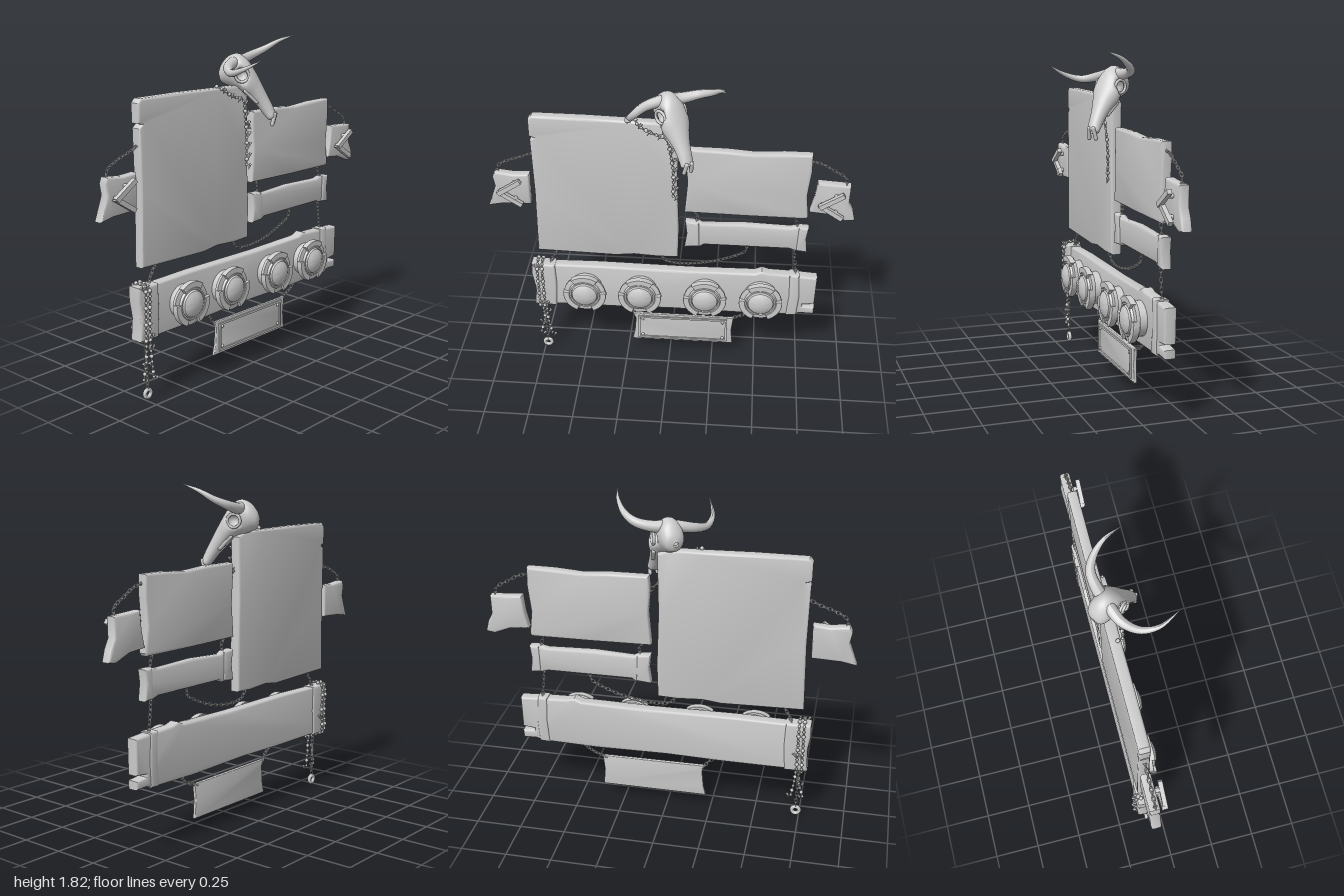
import * as THREE from 'three';
import { toCreasedNormals } from 'three/addons/utils/BufferGeometryUtils.js';

const mat = new THREE.MeshStandardMaterial({ color: 0xcccccc });
const V = (p) => new THREE.Vector3(...p);
const curveOf = (pts) => new THREE.CatmullRomCurve3(pts.map(V));

function add(parent, name, geometry, pos = [0, 0, 0], rot = [0, 0, 0]) {
  const m = new THREE.Mesh(geometry, mat);
  m.name = name;
  m.position.set(...pos);
  m.rotation.set(...rot);
  parent.add(m);
  return m;
}

// Board with a ragged outline and rounded edges, between two depths
function slab(parent, name, pts, back, front, bevel = 0.012) {
  const shape = new THREE.Shape(pts.map((p) => new THREE.Vector2(...p)));
  const g = new THREE.ExtrudeGeometry(shape, {
    depth: front - back - 2 * bevel, bevelThickness: bevel, bevelSize: bevel, bevelOffset: -bevel, bevelSegments: 3,
  });
  return add(parent, name, toCreasedNormals(g, 0.7), [0, 0, back + bevel]);
}

// Chain of alternately turned oval links along a curve
const linkGeo = new THREE.TorusGeometry(0.0085, 0.0032, 5, 10).scale(1.7, 1, 1);
function chain(parent, name, pts) {
  const group = new THREE.Group();
  group.name = name;
  const curve = curveOf(pts);
  const n = Math.max(2, Math.round(curve.getLength() / 0.023));
  for (let i = 0; i <= n; i++) {
    const link = add(group, 'link', linkGeo, curve.getPointAt(i / n).toArray());
    link.quaternion.setFromUnitVectors(new THREE.Vector3(1, 0, 0), curve.getTangentAt(i / n));
    link.rotateX(i % 2 ? Math.PI / 2 : 0.2);
  }
  parent.add(group);
}

// Cord strung with beads and small pointed charms
function beadString(parent, name, pts, charmEvery) {
  const group = new THREE.Group();
  group.name = name;
  const curve = curveOf(pts);
  add(group, 'cord', new THREE.TubeGeometry(curve, 30, 0.004, 5));
  const n = Math.round(curve.getLength() / 0.03);
  for (let i = 0; i <= n; i++) {
    const p = curve.getPointAt(i / n);
    add(group, 'bead', new THREE.SphereGeometry(i % 3 ? 0.008 : 0.011, 8, 6), p.toArray());
    if (i % charmEvery === 1) {
      const s = i % 2 ? 1 : -1;
      add(group, 'charm', new THREE.ConeGeometry(0.009, 0.035, 5), [p.x + s * 0.014, p.y - 0.014, p.z + 0.006], [0, 0, Math.PI - s * 0.5]);
    }
  }
  parent.add(group);
}

// Tapered horn: tube whose rings shrink toward the tip
function horn(parent, name, pts, radius) {
  const curve = curveOf(pts), seg = 28, radial = 12;
  const g = new THREE.TubeGeometry(curve, seg, radius, radial);
  const p = g.attributes.position, v = new THREE.Vector3();
  for (let i = 0; i < p.count; i++) {
    const t = Math.floor(i / (radial + 1)) / seg;
    const c = curve.getPointAt(t);
    v.fromBufferAttribute(p, i).sub(c).multiplyScalar(1 - 0.95 * Math.pow(t, 1.3)).add(c);
    p.setXYZ(i, v.x, v.y, v.z);
  }
  g.computeVertexNormals();
  add(parent, name, g);
}

// Skull lofted from sections: upper [z, y], lower [z, y], half width
function skullGeometry() {
  const rows = [
    [-0.115, 1.635, -0.112, 1.605, 0.012], [-0.1, 1.675, -0.1, 1.58, 0.045], [-0.06, 1.72, -0.07, 1.565, 0.062],
    [-0.01, 1.733, -0.03, 1.55, 0.064], [0.04, 1.7, 0.0, 1.54, 0.077], [0.08, 1.64, 0.03, 1.515, 0.08],
    [0.115, 1.575, 0.06, 1.485, 0.06], [0.15, 1.505, 0.095, 1.45, 0.044], [0.18, 1.445, 0.13, 1.405, 0.037],
    [0.192, 1.41, 0.155, 1.38, 0.034], [0.188, 1.395, 0.165, 1.38, 0.012],
  ];
  const top = curveOf(rows.map((r) => [r[4], r[1], r[0]]));
  const low = curveOf(rows.map((r) => [0, r[3], r[2]]));
  const N = 44, M = 28, pos = [], idx = [], eye = new THREE.Vector3(0.07, 1.625, 0.02);
  for (let i = 0; i <= N; i++) {
    const a = top.getPoint(i / N), b = low.getPoint(i / N);
    for (let j = 0; j < M; j++) {
      const t = (j / M) * Math.PI * 2, k = (1 - Math.cos(t)) / 2;
      const v = new THREE.Vector3(a.x * Math.sin(t), a.y + (b.y - a.y) * k, a.z + (b.z - a.z) * k);
      // Hollow out the eye sockets
      const d = Math.hypot(v.y - eye.y, v.z - eye.z) / 0.036;
      if (d < 1 && Math.abs(v.x) > 0.03) v.x *= 1 - 0.6 * Math.sqrt(1 - d * d);
      pos.push(v.x, v.y, v.z);
      if (i < N) {
        const p = i * M + j, q = i * M + ((j + 1) % M);
        idx.push(p, p + M, q, q, p + M, q + M);
      }
    }
  }
  const g = new THREE.BufferGeometry();
  g.setAttribute('position', new THREE.Float32BufferAttribute(pos, 3));
  g.setIndex(idx);
  g.computeVertexNormals();
  return g;
}

function buildSkull(root) {
  const group = new THREE.Group();
  group.name = 'skull';
  const head = new THREE.Group();
  head.name = 'skullHead';
  head.position.set(0.0, 0, -0.1);
  head.rotation.y = 0.62;
  const bone = add(head, 'cranium', skullGeometry());
  bone.material = new THREE.MeshStandardMaterial({ color: 0xcccccc, side: THREE.DoubleSide });
  for (const s of [-1, 1]) {
    add(head, 'eyeRim', new THREE.TorusGeometry(0.035, 0.008, 8, 20), [s * 0.07, 1.625, 0.02], [0, s * 1.35, 0]);
    // Forked muzzle tips and cheek ridges
    add(head, 'muzzleProng', new THREE.CapsuleGeometry(0.011, 0.055, 4, 8), [s * 0.018, 1.385, 0.182], [0.25, 0, s * 0.12]);
    add(head, 'cheekRidge', new THREE.CapsuleGeometry(0.012, 0.085, 4, 8), [s * 0.048, 1.51, 0.065], [-0.75, 0, s * -0.25]);
  }
  group.add(head);
  horn(group, 'rightHorn', [[0, 1.69, -0.12], [-0.06, 1.685, -0.1], [-0.13, 1.67, -0.065], [-0.185, 1.655, 0.01], [-0.2, 1.68, 0.1], [-0.165, 1.735, 0.205]], 0.033);
  horn(group, 'leftHorn', [[0, 1.69, -0.12], [0.06, 1.69, -0.14], [0.15, 1.71, -0.15], [0.215, 1.74, -0.115], [0.262, 1.785, -0.05], [0.287, 1.817, 0.035]], 0.033);
  root.add(group);
}

// Round lamp: stem, flange, raised rim arcs and dome
function lamp(root, x) {
  const group = new THREE.Group();
  group.name = 'roundLamp';
  group.position.set(x, 0.48, 0);
  const profile = [[0, -0.09], [0.092, -0.09], [0.092, -0.032], [0.112, -0.03], [0.118, -0.02], [0.118, -0.008], [0.092, -0.004],
    [0.086, 0.008], [0.078, 0.008], [0.076, 0.0], [0.07, 0.014], [0.05, 0.026], [0.025, 0.032], [0, 0.034]];
  const g = new THREE.LatheGeometry(profile.map((p) => new THREE.Vector2(...p)), 36).rotateX(Math.PI / 2);
  add(group, 'lampBody', toCreasedNormals(g, 0.6));
  for (let i = 0; i < 3; i++) {
    const a = Math.PI / 2 + i * Math.PI * 2 / 3 - 0.65, s = new THREE.Shape();
    s.absarc(0, 0, 0.12, a, a + 1.3, false);
    s.absarc(0, 0, 0.09, a + 1.3, a, true);
    const arc = new THREE.ExtrudeGeometry(s, { depth: 0.026, bevelSize: 0.002, bevelThickness: 0.003, bevelSegments: 1, curveSegments: 10 });
    add(group, 'rimArc', toCreasedNormals(arc, 0.5), [0, 0, -0.019]);
  }
  root.add(group);
}

// Chevron made of two crossed slats on a short post
function chevron(root, x) {
  const group = new THREE.Group();
  group.name = 'arrow';
  group.position.set(x, 1.115, 0);
  for (const s of [-1, 1]) {
    add(group, 'arrowSlat', new THREE.BoxGeometry(0.15, 0.026, 0.024), [0.005, s * 0.036, -0.055 + s * 0.004], [0, 0, s * 0.58]);
    add(group, 'arrowPost', new THREE.CylinderGeometry(0.012, 0.012, 0.04, 10), [0.03, s * 0.05, -0.075], [Math.PI / 2, 0, 0]);
  }
  root.add(group);
}

export function createModel() {
  const root = new THREE.Group();
  root.name = 'hangingSign';

  // Boards
  slab(root, 'mainBoard', [[-0.745, 0.715], [-0.3, 0.703], [-0.2, 0.715], [-0.06, 0.706], [0.045, 0.71], [0.05, 0.9], [0.04, 1.2], [0.045, 1.54],
    [-0.02, 1.565], [-0.2, 1.568], [-0.45, 1.575], [-0.725, 1.577], [-0.745, 1.555], [-0.745, 1.455], [-0.72, 1.448], [-0.742, 1.43], [-0.737, 1.1]], -0.143, -0.083);
  slab(root, 'sideBoard', [[0.08, 1.015], [0.4, 1.008], [0.74, 1.005], [0.75, 1.02], [0.735, 1.15], [0.75, 1.3], [0.748, 1.405], [0.6, 1.405],
    [0.45, 1.395], [0.3, 1.407], [0.09, 1.41], [0.085, 1.33], [0.095, 1.2]], -0.14, -0.085);
  slab(root, 'smallBoard', [[0.085, 0.785], [0.17, 0.785], [0.19, 0.8], [0.66, 0.798], [0.7, 0.785], [0.758, 0.785], [0.75, 0.87], [0.758, 0.94],
    [0.7, 0.945], [0.66, 0.935], [0.4, 0.945], [0.18, 0.935], [0.15, 0.95], [0.085, 0.95], [0.095, 0.87]], -0.135, -0.09);
  slab(root, 'smallBoardEnd', [[0.082, 0.783], [0.165, 0.79], [0.16, 0.945], [0.084, 0.952], [0.094, 0.87]], -0.14, -0.083);
  slab(root, 'smallBoardEnd', [[0.7, 0.79], [0.76, 0.783], [0.75, 0.87], [0.76, 0.942], [0.705, 0.945]], -0.14, -0.083);
  slab(root, 'lampBoard', [[-0.78, 0.335], [-0.3, 0.335], [0, 0.342], [0.4, 0.335], [0.72, 0.343], [0.75, 0.355], [0.828, 0.352], [0.83, 0.398],
    [0.76, 0.405], [0.76, 0.418], [0.828, 0.425], [0.832, 0.61], [0.7, 0.62], [0.56, 0.625], [0.52, 0.638], [0.48, 0.62], [0.1, 0.615], [-0.4, 0.622], [-0.78, 0.615]], -0.14, -0.075);
  slab(root, 'lampBoardBand', [[-0.785, 0.333], [-0.66, 0.33], [-0.65, 0.48], [-0.655, 0.62], [-0.79, 0.625], [-0.792, 0.55], [-0.775, 0.45]], -0.147, -0.065);
  slab(root, 'lampBoardBand', [[0.67, 0.34], [0.73, 0.343], [0.74, 0.48], [0.73, 0.625], [0.675, 0.625], [0.68, 0.48]], -0.145, -0.068);
  for (const x of [-0.48, -0.165, 0.205, 0.52]) lamp(root, x);

  // Small arrow signs at the sides
  slab(root, 'rightArrowBoard', [[-1, 1.005], [-0.92, 1.02], [-0.765, 1.025], [-0.762, 1.215], [-0.85, 1.21], [-0.952, 1.222], [-0.965, 1.19], [-0.955, 1.13]], -0.14, -0.085);
  slab(root, 'leftArrowBoard', [[0.755, 1.05], [0.86, 1.04], [0.95, 1.003], [1, 1.01], [0.985, 1.07], [0.96, 1.12], [0.963, 1.225], [0.85, 1.232], [0.785, 1.237], [0.775, 1.14]], -0.14, -0.085);
  chevron(root, -0.875);
  chevron(root, 0.86);

  // Framed plate
  slab(root, 'plate', [[-0.222, 0.082], [0.37, 0.082], [0.362, 0.18], [0.372, 0.272], [-0.218, 0.276], [-0.2, 0.24], [-0.208, 0.14]], -0.115, -0.095, 0.005);
  const frame = new THREE.Shape([[-0.186, 0.098], [0.336, 0.098], [0.336, 0.262], [-0.186, 0.262]].map((p) => new THREE.Vector2(...p)));
  frame.holes.push(new THREE.Path([[-0.174, 0.11], [-0.174, 0.25], [0.324, 0.25], [0.324, 0.11]].map((p) => new THREE.Vector2(...p))));
  add(root, 'plateFrame', new THREE.ExtrudeGeometry(frame, { depth: 0.01, bevelEnabled: false }), [0, 0, -0.097]);
  for (const x of [-0.16, 0.31]) for (const y of [0.122, 0.238]) add(root, 'rivet', new THREE.SphereGeometry(0.009, 10, 8), [x, y, -0.093]);

  // Chains
  const z = -0.11;
  for (const path of [
    [[-0.94, 1.22], [-0.93, 1.255], [-0.86, 1.295], [-0.8, 1.315], [-0.735, 1.345]],
    [[0.74, 1.36], [0.8, 1.345], [0.87, 1.305], [0.93, 1.265], [0.94, 1.225]],
    [[0.04, 1.37], [0.065, 1.35], [0.09, 1.31]],
    [[0.135, 1.01], [0.15, 0.98], [0.145, 0.945]], [[0.68, 1.01], [0.69, 0.975], [0.7, 0.94]],
    [[0.69, 0.79], [0.7, 0.7], [0.71, 0.62]], [[-0.63, 0.715], [-0.66, 0.67], [-0.685, 0.62]],
    [[-0.06, 0.71], [-0.02, 0.665], [0.06, 0.65], [0.2, 0.665], [0.34, 0.71], [0.42, 0.755], [0.43, 0.79]],
    [[-0.29, 0.34], [-0.24, 0.31], [-0.21, 0.27]], [[0.49, 0.34], [0.43, 0.295], [0.36, 0.265]],
  ]) chain(root, 'chain', path.map((p) => [...p, z]));

  // Bead strings wrapped round the lamp board, with a ring charm
  for (const x of [-0.755, -0.728]) {
    const loop = [[x, 0.335, -0.06], [x, 0.48, -0.056], [x, 0.62, -0.06], [x, 0.635, -0.105], [x, 0.62, -0.152], [x, 0.48, -0.155], [x, 0.335, -0.152], [x, 0.322, -0.105], [x, 0.335, -0.06]];
    beadString(root, 'wrappedBeads', loop, 9);
  }
  beadString(root, 'hangingBeads', [[-0.745, 0.33, -0.07], [-0.74, 0.22, -0.08], [-0.765, 0.12, -0.075]], 3);
  beadString(root, 'hangingBeads', [[-0.72, 0.33, -0.07], [-0.715, 0.22, -0.065], [-0.7, 0.12, -0.07]], 3);
  chain(root, 'charmChain', [[-0.735, 0.33, -0.09], [-0.735, 0.2, -0.085], [-0.732, 0.07, -0.085]]);
  add(root, 'ringCharm', new THREE.TorusGeometry(0.021, 0.011, 8, 20), [-0.732, 0.032, -0.085]);

  // Bead garland below the skull
  beadString(root, 'skullBeads', [[-0.18, 1.575, -0.1], [-0.165, 1.56, -0.07], [-0.09, 1.515, -0.065], [-0.02, 1.49, -0.06], [0.005, 1.4, -0.065], [0.02, 1.27, -0.07], [0.02, 1.13, -0.07]], 2);

  buildSkull(root);
  return root;
}
